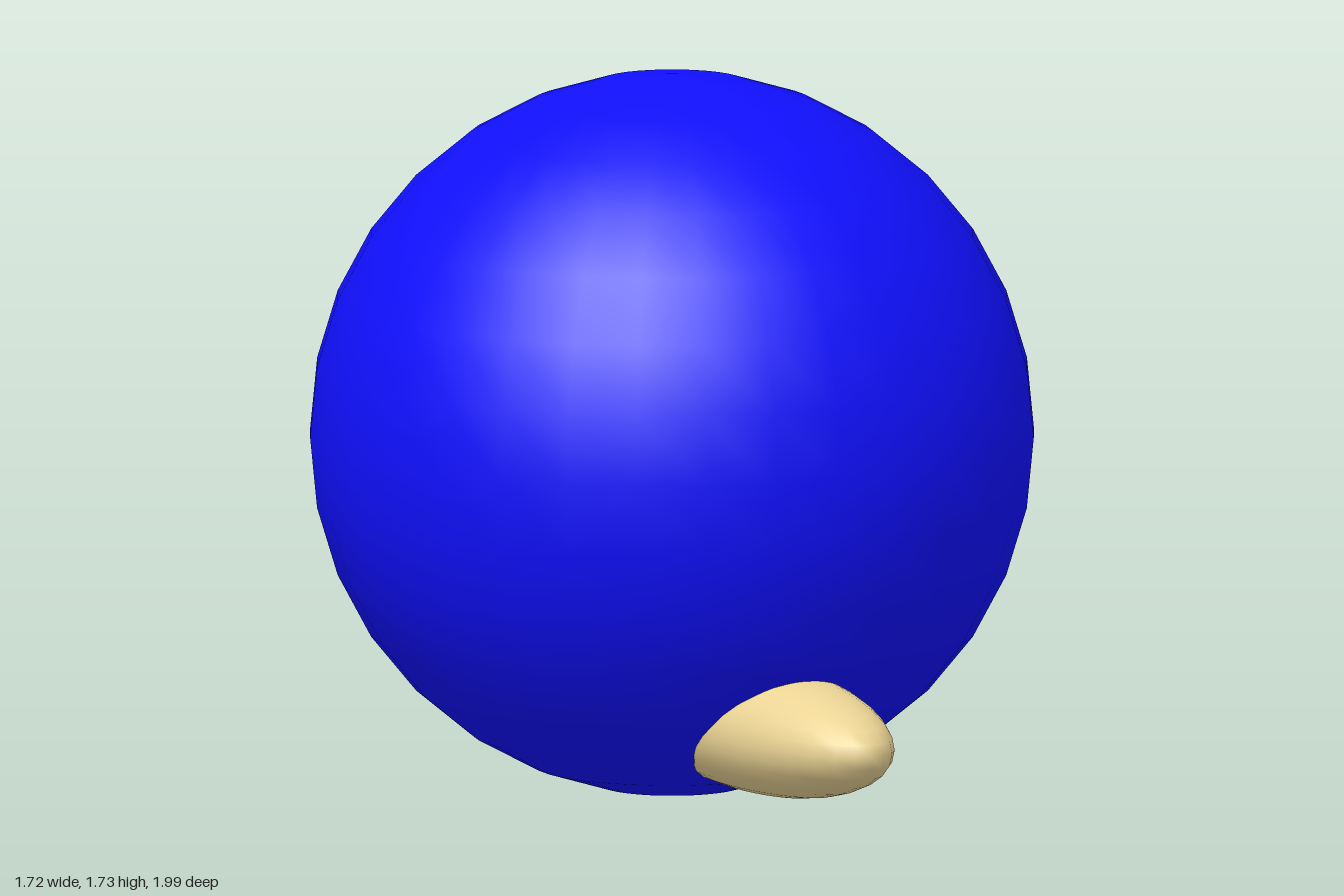
import * as THREE from 'three';

export function createModel() {
  const model = new THREE.Group();
  model.name = 'ballWithFeet';

  const blue = new THREE.MeshStandardMaterial({ color: 0x1010ff });
  const tan = new THREE.MeshStandardMaterial({ color: 0xead394 });
  const R = 0.863;

  // Round body resting on the ground
  const body = new THREE.Mesh(new THREE.SphereGeometry(R, 32, 16), blue);
  body.name = 'body';
  body.position.y = R;
  model.add(body);

  // Two long flattened feet, one the half-turn of the other
  const footShape = new THREE.SphereGeometry(1, 32, 16);
  footShape.scale(0.195, 0.153, 0.545);
  for (const [name, s] of [['frontFoot', 1], ['backFoot', -1]]) {
    const foot = new THREE.Mesh(footShape, tan);
    foot.name = name;
    foot.position.set(-0.008 * s, 0.22, 0.483 * s);
    model.add(foot);
  }

  // The whole figure is turned slightly to its left
  model.rotation.y = THREE.MathUtils.degToRad(15);

  const root = new THREE.Group();
  root.add(model);
  return root;
}
